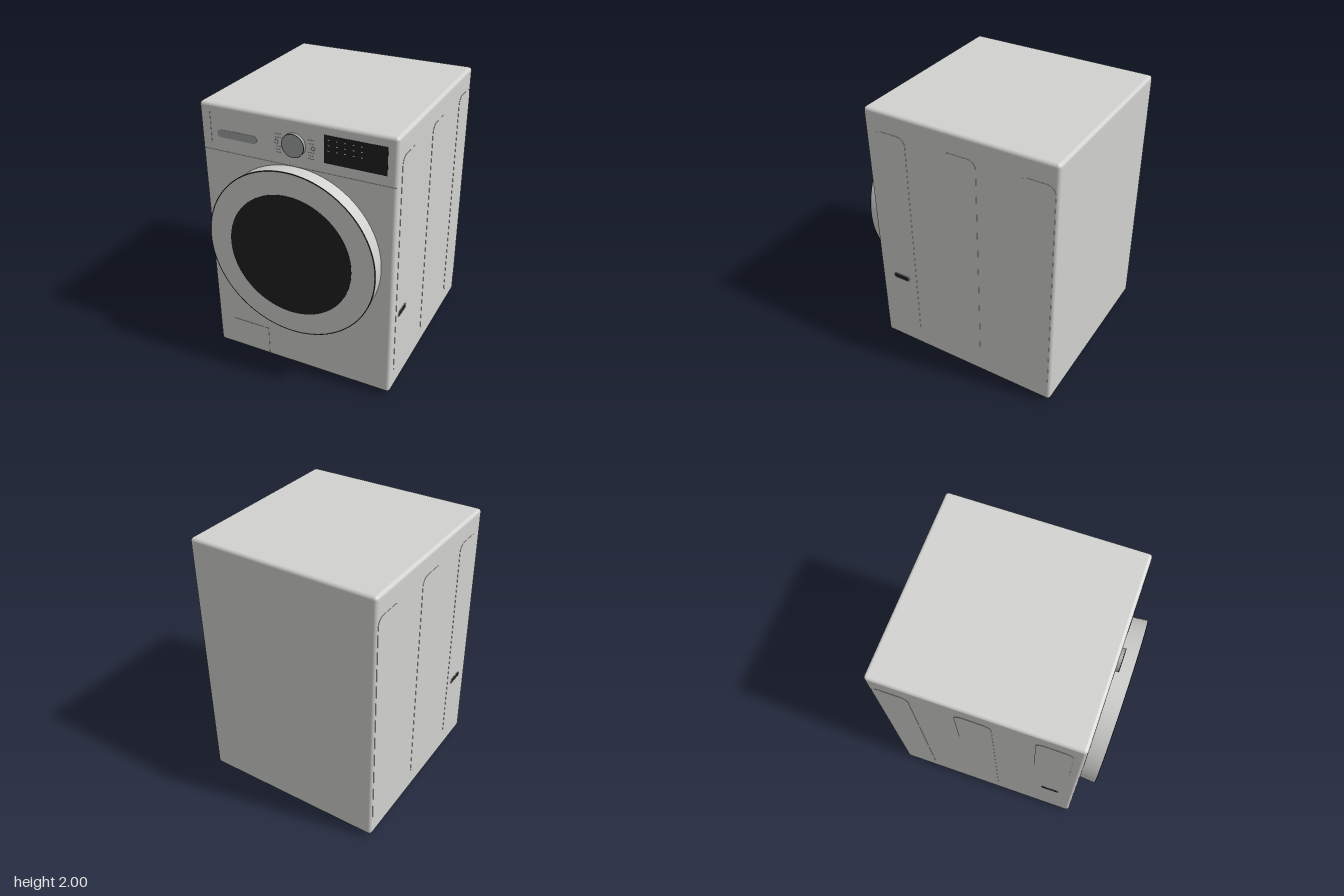
import * as THREE from 'three';
import { RoundedBoxGeometry } from 'three/addons/geometries/RoundedBoxGeometry.js';

const mat = (name, color) => {
  const m = new THREE.MeshStandardMaterial({ color });
  m.name = name;
  return m;
};

// Rounded rectangle outline centred on the origin
function roundedRect(w, h, r, Type = THREE.Shape) {
  const s = new Type(), x = w / 2 - r, y = h / 2 - r;
  s.absarc(x, y, r, 0, Math.PI / 2);
  s.absarc(-x, y, r, Math.PI / 2, Math.PI);
  s.absarc(-x, -y, r, Math.PI, Math.PI * 1.5);
  s.absarc(x, -y, r, Math.PI * 1.5, Math.PI * 2);
  s.closePath();
  return s;
}

const plate = (shape, depth) =>
  new THREE.ExtrudeGeometry(shape, { depth, bevelEnabled: false, curveSegments: 8 });

export function createModel() {
  const model = new THREE.Group();
  model.name = 'washingMachine';
  const shell = mat('shellGrey', 0xd2d2d0);
  const trim = mat('trimGrey', 0x9fa2a0);
  const black = mat('glassBlack', 0x202020);
  const mark = mat('markWhite', 0xe4e4e4);

  const FRONT = 0.66;
  function add(name, geometry, material, x = 0, y = 0, z = 0, parent = model) {
    const mesh = new THREE.Mesh(geometry, material);
    mesh.name = name;
    mesh.position.set(x, y, z);
    parent.add(mesh);
    return mesh;
  }
  // Thin strip or tile lying on the front
  const strip = (name, x, y, w, h, material = trim, z = FRONT) =>
    add(name, new THREE.BoxGeometry(w, h, 0.003), material, x, y, z);

  // Cabinet
  add('cabinet', new RoundedBoxGeometry(1.406, 1.97, 1.436, 4, 0.025), shell, 0, 1.015, -0.058);

  // Feet
  for (const x of [-0.655, 0.655]) for (const z of [0.59, -0.705])
    add('foot', new THREE.CylinderGeometry(0.022, 0.022, 0.05, 20), black, x, 0.025, z);

  // Door: ring flaring slightly forward, black edge line, window
  const door = new THREE.Group();
  door.name = 'door';
  door.position.set(0, 1.055, FRONT);
  door.rotation.x = Math.PI / 2;
  model.add(door);
  const lathe = (pts) => new THREE.LatheGeometry(pts.map(p => new THREE.Vector2(...p)), 96);
  add('doorSide', lathe([[0.614, -0.005], [0.624, 0.112]]), shell, 0, 0, 0, door);
  add('doorFace', lathe([[0.619, 0.116], [0.45, 0.116]]), shell, 0, 0, 0, door);
  add('doorEdge', lathe([[0.624, 0.112], [0.624, 0.116], [0.619, 0.116]]), black, 0, 0, 0, door);
  add('doorWindow', new THREE.CylinderGeometry(0.455, 0.455, 0.006, 96), black, 0, 0.116, 0, door);

  // Control panel seam and detergent drawer
  strip('panelSeam', 0, 1.67, 1.39, 0.004);
  strip('drawerSeamSide', -0.625, 1.83, 0.004, 0.22);
  add('drawerGrip', plate(roundedRect(0.3, 0.056, 0.027), 0.003), trim, -0.425, 1.797, FRONT - 0.001);

  // Programme dial
  const dial = add('dial', new THREE.CylinderGeometry(0.078, 0.08, 0.026, 48), trim, 0, 1.823, FRONT + 0.012);
  dial.rotation.x = Math.PI / 2;
  add('dialRim', new THREE.TorusGeometry(0.079, 0.002, 6, 48), black, 0, 1.823, FRONT + 0.024);

  // Dial markings and push buttons
  for (const side of [-1, 1]) {
    for (const y of [1.875, 1.85, 1.79, 1.768, 1.748])
      strip('dialMark', side * 0.118, y, 0.04, 0.004);
    add('button', new THREE.TorusGeometry(0.013, 0.002, 6, 24), trim, side * 0.132, 1.82, FRONT);
  }

  // Display with indicator marks
  strip('display', 0.423, 1.836, 0.424, 0.19, black, FRONT + 0.001);
  for (let i = 0; i < 5; i++) for (let j = 0; j < 3; j++)
    strip('indicator', 0.242 + i * 0.056, 1.9 - j * 0.036, 0.013, 0.005, mark, FRONT + 0.002);

  // Filter hatch
  strip('hatchSeamTop', -0.425, 0.277, 0.31, 0.004);
  strip('hatchSeamSide', -0.27, 0.165, 0.004, 0.226);
  strip('hatchNotch', -0.425, 0.277, 0.028, 0.012);

  // Both sides: shallow pressed panels and a slot
  for (const side of [-1, 1]) {
    const wall = new THREE.Group();
    wall.name = side > 0 ? 'leftSide' : 'rightSide';
    wall.position.x = side * 0.703;
    wall.rotation.y = side * Math.PI / 2;
    model.add(wall);
    // Local x runs along -z on the left side and +z on the right
    for (const z of [0.465, -0.075, -0.63])
      add('pressedPanel', plate(roundedRect(0.25, 1.69, 0.06), 0.003), shell, -side * z, 1.005, -0.001, wall);
    const frame = roundedRect(0.146, 0.048, 0.02);
    frame.holes.push(roundedRect(0.124, 0.034, 0.012, THREE.Path));
    add('slotFrame', plate(frame, 0.004), trim, -side * 0.475, 0.645, 0, wall);
    add('slot', plate(roundedRect(0.124, 0.034, 0.012), 0.003), black, -side * 0.475, 0.645, 0, wall);
  }
  return model;
}
